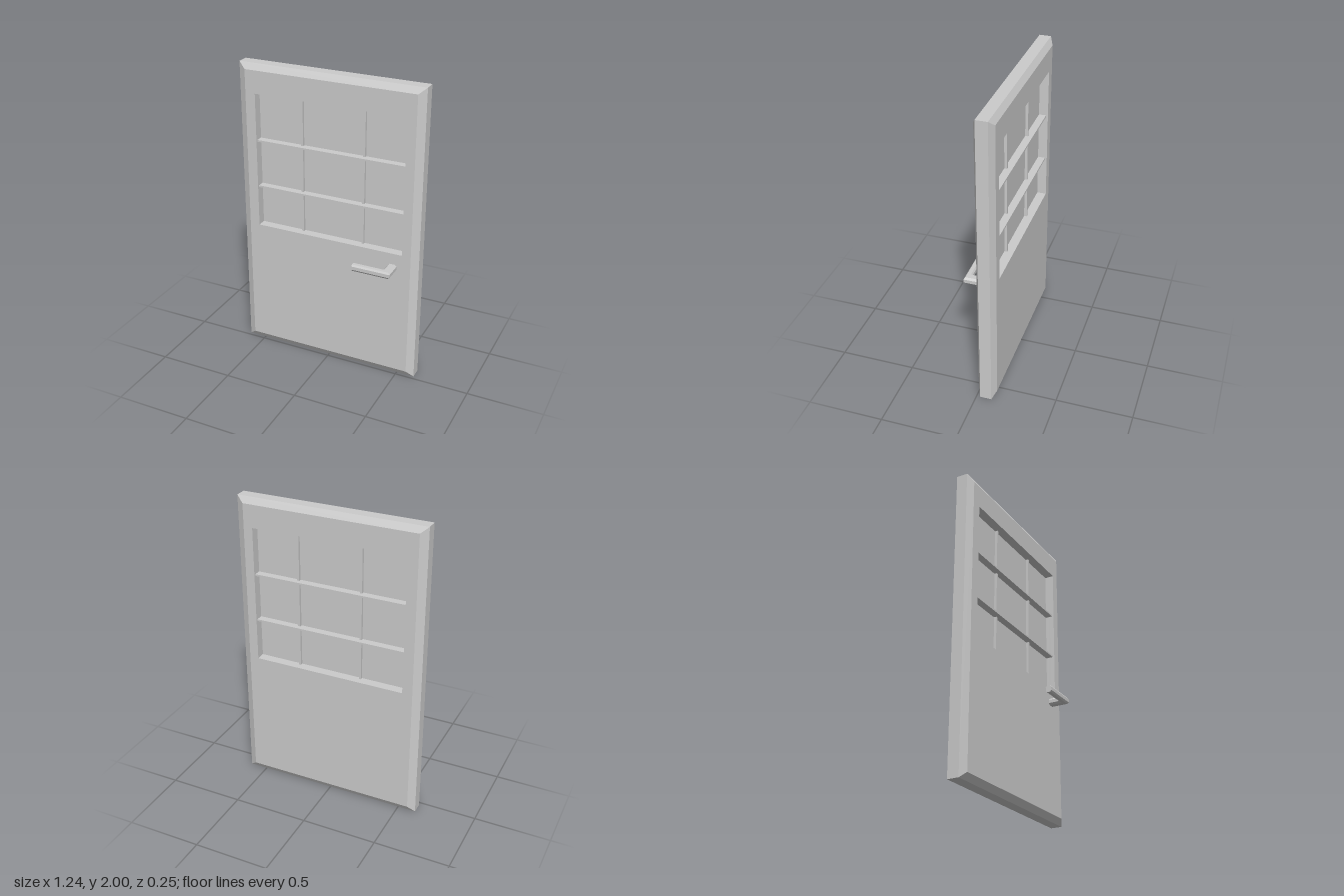
import * as THREE from 'three';

const material = new THREE.MeshStandardMaterial({ color: 0xcccccc, flatShading: true });
const W = 0.62, H = 2, DEPTH = 0.125, MID = -DEPTH / 2;
const WIN = { x0: -0.505, x1: 0.512, y0: 0.9, y1: 1.81 };

function add(group, name, geometry, x = 0, y = 0, z = 0) {
  const mesh = new THREE.Mesh(geometry, material);
  mesh.name = name;
  mesh.position.set(x, y, z);
  group.add(mesh);
  return mesh;
}

// Slab with a window opening; only the outer rim is chamfered, front and back
function doorSlab() {
  const outline = (x0, x1, y0, y1) =>
    [[x0, y0], [x1, y0], [x1, y1], [x0, y1]].map(([x, y]) => new THREE.Vector2(x, y));
  const shape = new THREE.Shape(outline(-W, W, 0, H));
  shape.holes.push(new THREE.Path(outline(WIN.x0, WIN.x1, WIN.y0, WIN.y1)));
  const geo = new THREE.ExtrudeGeometry(shape, { depth: DEPTH, steps: 5, bevelEnabled: false });
  const p = geo.attributes.position;
  for (let i = 0; i < p.count; i++) {
    const x = p.getX(i), y = p.getY(i), z = p.getZ(i);
    const onFace = z < 0.001 || z > DEPTH - 0.001;
    if (onFace && Math.abs(x) > W - 0.01) {
      p.setXY(i, Math.sign(x) * (W - 0.048), y < 1 ? 0.04 : H - 0.04);
    }
  }
  geo.translate(0, 0, -DEPTH);
  geo.computeVertexNormals();
  return geo;
}

// Chamfered bar swept out of the door and mitred into a sideways lever
function leverHandle() {
  const section = [[0.2, 0], [0.8, 0], [1, 0.25], [1, 0.75], [0.8, 1], [0.2, 1], [0, 0.75], [0, 0.25]];
  const stemX = u => 0.42 + 0.06 * u, leverZ = u => 0.08 + 0.04 * u;
  const stations = [
    u => [stemX(u), -0.01],
    u => [stemX(u), leverZ(u)],
    u => [0.222, leverZ(u)],
  ];
  const n = section.length, pos = [], index = [];
  for (const at of stations) {
    for (const [u, v] of section) {
      const [x, z] = at(u);
      pos.push(x, 0.78 + 0.045 * v, z);
    }
  }
  for (let s = 0; s < stations.length - 1; s++) {
    for (let i = 0; i < n; i++) {
      const a = s * n + i, b = s * n + (i + 1) % n;
      index.push(a, b, b + n, a, b + n, a + n);
    }
  }
  // End cap of the lever
  const end = (stations.length - 1) * n;
  for (let i = 1; i < n - 1; i++) index.push(end, end + i, end + i + 1);
  const geo = new THREE.BufferGeometry();
  geo.setAttribute('position', new THREE.Float32BufferAttribute(pos, 3));
  geo.setIndex(index);
  const flat = geo.toNonIndexed();
  flat.computeVertexNormals();
  return flat;
}

export function createModel() {
  const door = new THREE.Group();
  door.name = 'door';
  add(door, 'doorSlab', doorSlab());

  // Window pane and glazing bars, centred in the thickness of the door
  const winW = WIN.x1 - WIN.x0, winH = WIN.y1 - WIN.y0;
  const cx = (WIN.x0 + WIN.x1) / 2, cy = (WIN.y0 + WIN.y1) / 2;
  const win = new THREE.Group();
  win.name = 'window';
  door.add(win);
  add(win, 'windowPane', new THREE.BoxGeometry(winW, winH, 0.004), cx, cy, MID);
  for (const x of [-0.2, 0.225]) {
    add(win, 'verticalBar', new THREE.BoxGeometry(0.014, winH, 0.04), x, cy, MID);
  }
  for (const y of [1.175, 1.492]) {
    add(win, 'horizontalBar', new THREE.BoxGeometry(winW + 0.01, 0.012, 0.1), cx, y, MID);
  }

  add(door, 'leverHandle', leverHandle());
  return door;
}
